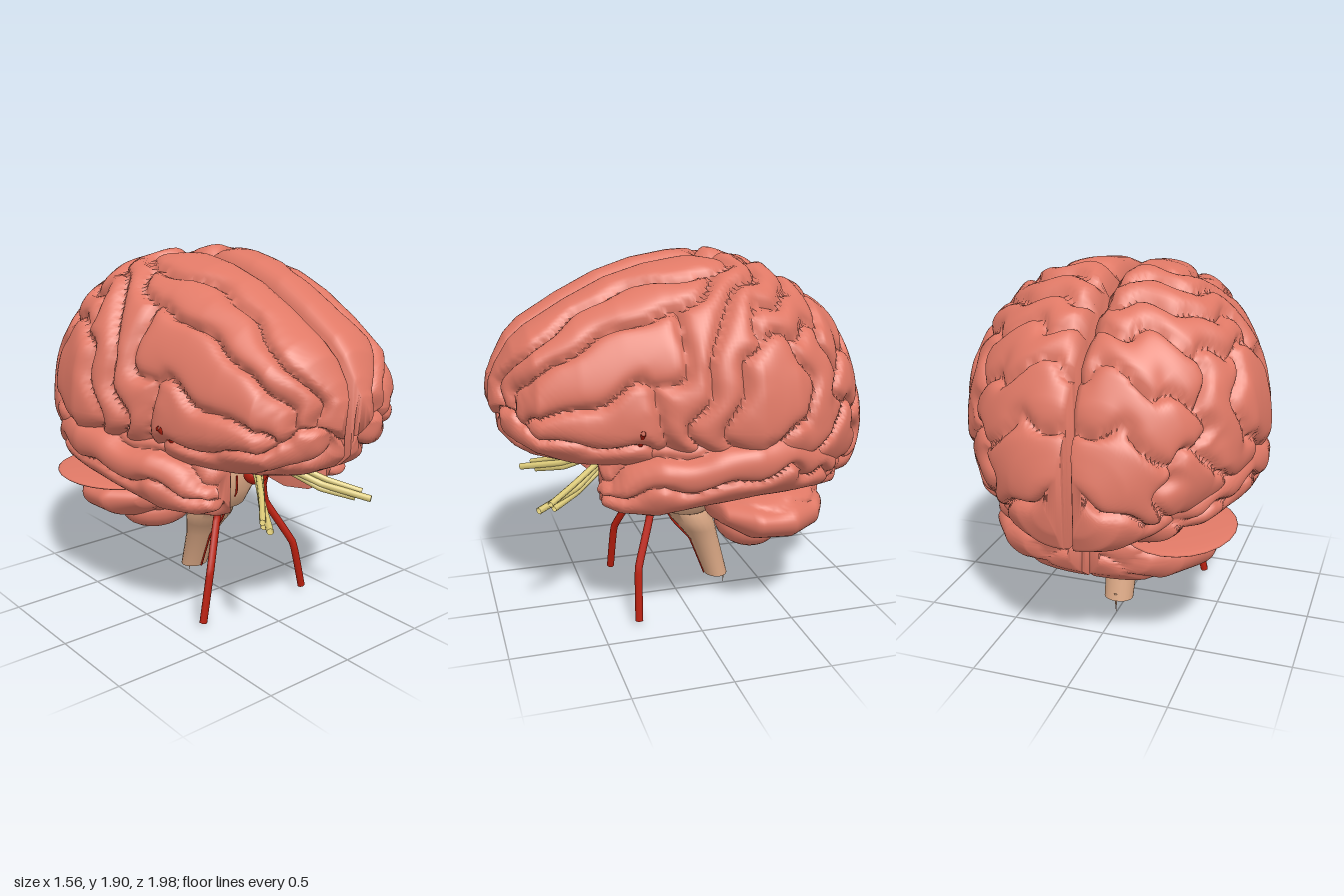
import * as THREE from 'three';
import { toCreasedNormals } from 'three/addons/utils/BufferGeometryUtils.js';

const tissue = new THREE.MeshStandardMaterial({ color: 0xe07966 });
const stemTan = new THREE.MeshStandardMaterial({ color: 0xdba885 });
const arteryRed = new THREE.MeshStandardMaterial({ color: 0xb81f0e, side: THREE.DoubleSide });
const nerveYellow = new THREE.MeshStandardMaterial({ color: 0xdcca78, side: THREE.DoubleSide });

// Surface from a rule fn(i, j) -> Vector3 on an n by m grid
function grid(n, m, fn, flip, crease) {
  const pos = [], idx = [];
  for (let i = 0; i <= n; i++) for (let j = 0; j <= m; j++) pos.push(...fn(i, j).toArray());
  for (let i = 0; i < n; i++) for (let j = 0; j < m; j++) {
    const a = i * (m + 1) + j, b = a + m + 1;
    if (flip) idx.push(a, a + 1, b, b, a + 1, b + 1);
    else idx.push(a, b, a + 1, b, b + 1, a + 1);
  }
  const g = new THREE.BufferGeometry();
  g.setAttribute('position', new THREE.Float32BufferAttribute(pos, 3));
  g.setIndex(idx);
  return toCreasedNormals(g, crease);
}

// Half-round lobe lofted along z, grooved wherever two neighbouring folds meet.
// stations: [z, top, bottom, width, widest y, inner x]; folds: paths of [z, angle]
function lobe(stations, folds, n, m, side, depth) {
  const rows = [...stations].reverse();
  const interp = new THREE.LinearInterpolant(rows.map(r => r[0]), rows.flatMap(r => r.slice(1)), 5, new Float32Array(5));
  const at = (z, t) => {
    const [top, bot, w, yc, x0] = interp.evaluate(z);
    const s = Math.sin(t), x = w * Math.max(0, Math.cos(t)) ** 0.8;
    // The upper inner edge rolls down into the midline gap
    const roll = s > 0 ? 0.22 * (top - yc) * s * Math.exp(-x / 0.035) * 0.5 : 0;
    return {
      p: new THREE.Vector3(x0 + x, yc + (s > 0 ? top - yc : yc - bot) * s - roll, z),
      core: new THREE.Vector3(x0, yc, z * 0.8),
    };
  };
  const ridges = folds.map(path => {
    const pts = [];
    for (let k = 0; k + 1 < path.length; k++) for (let f = 0; f <= 8; f++) {
      const mix = e => THREE.MathUtils.lerp(path[k][e], path[k + 1][e], f / 8);
      pts.push(at(mix(0), THREE.MathUtils.degToRad(mix(1))).p);
    }
    return pts;
  });
  const z1 = stations[0][0], z0 = stations[stations.length - 1][0];
  const wobble = new THREE.Vector3();
  return grid(n, m + 1, (i, j) => {
    const z = (z1 + z0) / 2 + (z1 - z0) / 2 * Math.cos(Math.PI * i / n);
    const { p, core } = at(z, -Math.PI / 2 + Math.PI * (j % (m + 1)) / m);
    wobble.set(
      Math.sin(p.y * 23 + p.z * 9), Math.sin(p.z * 21 + p.x * 17), Math.sin(p.x * 23 + p.y * 17)
    ).multiplyScalar(0.032).add(p);
    let near = 9, second = 9;
    for (const r of ridges) {
      let d = 9;
      for (const q of r) d = Math.min(d, q.distanceToSquared(wobble));
      d = Math.sqrt(d);
      if (d < near) { second = near; near = d; } else if (d < second) second = d;
    }
    const dir = core.sub(p), len = dir.length();
    const sink = Math.min(depth * Math.exp(-(second - near) / 0.045), len * 0.5);
    if (len > 1e-5) p.addScaledVector(dir, sink / len);
    p.x *= side;
    return p;
  }, side < 0, 1.25);
}

const HEMISPHERE = [
  [1.0, 1.25, 1.19, 0, 1.22, 0.09], [0.985, 1.33, 1.12, 0.11, 1.22, 0.04], [0.95, 1.41, 1.03, 0.21, 1.21, 0.02],
  [0.88, 1.52, 0.97, 0.34, 1.2, 0.015], [0.8, 1.59, 0.93, 0.46, 1.19, 0.015], [0.6, 1.71, 0.88, 0.54, 1.16, 0.015],
  [0.4, 1.81, 0.86, 0.6, 1.14, 0.015], [0.2, 1.87, 0.86, 0.66, 1.15, 0.015], [0, 1.9, 0.86, 0.73, 1.15, 0.015],
  [-0.2, 1.915, 0.85, 0.77, 1.15, 0.015], [-0.4, 1.86, 0.8, 0.745, 1.13, 0.015], [-0.6, 1.745, 0.73, 0.65, 1.1, 0.015],
  [-0.78, 1.6, 0.68, 0.51, 1.08, 0.015], [-0.88, 1.41, 0.68, 0.39, 1.04, 0.02], [-0.95, 1.2, 0.71, 0.26, 1.0, 0.025],
  [-0.985, 1.08, 0.8, 0.14, 0.97, 0.04], [-1.0, 1.0, 0.94, 0, 0.97, 0.1],
];
const HEMISPHERE_FOLDS = [
  [[0.98, 45], [0.8, 75], [0.5, 79], [0.2, 79], [-0.12, 80]],
  [[0.93, 22], [0.8, 48], [0.55, 58], [0.3, 60], [0.05, 58]],
  [[0.87, 3], [0.65, 24], [0.45, 33], [0.25, 38], [0.2, 25]],
  [[0.78, -15], [0.5, 0], [0.3, 5]],
  [[0.9, -42], [0.65, -42], [0.4, -38]],
  [[0.88, -75], [0.6, -75], [0.2, -75]],
  [[-0.27, 85], [-0.2, 66], [-0.02, 48], [0.08, 28], [0.18, 4]],
  [[-0.42, 85], [-0.36, 66], [-0.2, 47], [-0.08, 28], [0.02, 4]],
  [[-0.14, 5], [-0.23, 22], [-0.33, 26], [-0.4, 8]],
  [[-0.57, 84], [-0.52, 66], [-0.42, 48], [-0.3, 44]],
  [[-0.5, 35], [-0.6, 24], [-0.58, 5], [-0.5, -10]],
  [[-0.71, 80], [-0.68, 60], [-0.66, 42]],
  [[-0.84, 72], [-0.83, 42], [-0.77, 22]],
  [[-0.7, -2], [-0.77, -20], [-0.6, -30]],
  [[-0.94, 45], [-0.93, 5], [-0.9, -15]],
  [[-0.95, -50], [-0.8, -58], [-0.55, -60]],
  [[-0.3, -55], [0.1, -60]],
];
const TEMPORAL = [
  [0.54, 0.87, 0.78, 0, 0.82, 0.42], [0.51, 0.94, 0.71, 0.16, 0.82, 0.33], [0.42, 1.03, 0.655, 0.31, 0.84, 0.27],
  [0.25, 1.12, 0.63, 0.43, 0.89, 0.25], [0, 1.19, 0.67, 0.51, 0.95, 0.24], [-0.2, 1.22, 0.7, 0.55, 0.98, 0.23],
  [-0.4, 1.2, 0.7, 0.525, 0.98, 0.22], [-0.6, 1.06, 0.69, 0.44, 0.91, 0.2], [-0.74, 0.95, 0.69, 0.3, 0.83, 0.2],
  [-0.82, 0.84, 0.78, 0, 0.8, 0.25],
];
const TEMPORAL_FOLDS = [
  [[0.5, 48], [0.3, 52], [0, 46], [-0.3, 52], [-0.5, 60]],
  [[0.52, 0], [0.2, 10], [-0.1, 3], [-0.35, 14], [-0.65, 10]],
  [[0.46, -42], [0.2, -33], [-0.1, -38], [-0.6, -32]],
  [[0.42, -78], [0, -78], [-0.6, -75]],
];
const CEREBELLUM = [
  [-0.1, 0.64, 0.58, 0, 0.6, 0.2], [-0.14, 0.69, 0.5, 0.4, 0.6, 0.06], [-0.28, 0.72, 0.42, 0.56, 0.59, 0.03],
  [-0.48, 0.74, 0.4, 0.57, 0.58, 0.015], [-0.65, 0.72, 0.42, 0.45, 0.58, 0.015], [-0.73, 0.69, 0.48, 0.3, 0.58, 0.02],
  [-0.77, 0.62, 0.56, 0, 0.59, 0.08],
];
const CEREBELLUM_FOLDS = [
  [[-0.15, 55], [-0.45, 55], [-0.7, 55]],
  [[-0.15, -20], [-0.45, -15], [-0.72, -20]],
  [[-0.2, -78], [-0.65, -78]],
];

// Brainstem rings: [y, centre z, x radius, z radius]
const STEM = [
  [0.08, -0.235, 0, 0], [0.08, -0.235, 0.08, 0.065], [0.3, -0.165, 0.088, 0.08], [0.38, -0.125, 0.115, 0.1],
  [0.44, -0.09, 0.135, 0.115], [0.495, -0.06, 0.125, 0.115], [0.52, -0.04, 0.18, 0.14], [0.62, -0.02, 0.225, 0.165],
  [0.72, 0, 0.21, 0.15], [0.8, 0, 0.15, 0.13], [0.95, 0, 0.12, 0.12], [0.95, 0, 0, 0],
];

export function createModel() {
  const model = new THREE.Group();
  const add = (name, geometry, material) => {
    const mesh = new THREE.Mesh(geometry, material);
    mesh.name = name;
    model.add(mesh);
    return mesh;
  };
  const blob = (name, material, [x, y, z], [rx, ry, rz]) => {
    const mesh = add(name, new THREE.SphereGeometry(1, 24, 14), material);
    mesh.position.set(x, y, z);
    mesh.scale.set(rx, ry, rz);
  };
  const tube = (name, material, radius, side, pts) => {
    const curve = new THREE.CatmullRomCurve3(
      pts.map(([x, y, z]) => new THREE.Vector3(x * side, y, z)), false, 'catmullrom', 0.15);
    add(name, new THREE.TubeGeometry(curve, pts.length * 5, radius, 7), material);
  };

  for (const side of [1, -1]) {
    const tag = side > 0 ? 'left' : 'right';
    // Folded lobes
    add(tag + 'Hemisphere', lobe(HEMISPHERE, HEMISPHERE_FOLDS, 170, 108, side, 0.06), tissue);
    add(tag + 'TemporalLobe', lobe(TEMPORAL, TEMPORAL_FOLDS, 100, 64, side, 0.055), tissue);
    add(tag + 'Cerebellum', lobe(CEREBELLUM, CEREBELLUM_FOLDS, 50, 40, side, 0.03), tissue);
    blob(tag + 'CerebellarTonsil', tissue, [0.17 * side, 0.455, -0.35], [0.22, 0.125, 0.17]);

    // Arteries
    tube(tag + 'CarotidArtery', arteryRed, 0.021, side,
      [[0.35, 0.025, 0.3], [0.29, 0.3, 0.285], [0.17, 0.54, 0.19], [0.14, 0.65, 0.2], [0.15, 0.86, 0.25]]);
    tube(tag + 'MiddleArtery', arteryRed, 0.013, side,
      [[0.14, 0.85, 0.25], [0.25, 0.9, 0.3], [0.5, 1.02, 0.33], [0.64, 1.15, 0.34]]);
    tube(tag + 'FrontArtery', arteryRed, 0.012, side,
      [[0.15, 0.85, 0.25], [0.03, 0.87, 0.42], [0.013, 0.95, 0.6], [0.012, 1.04, 0.62]]);

    // Nerve strands running forward in a tight bundle
    tube(tag + 'OpticNerve', nerveYellow, 0.018, side,
      [[0, 0.85, 0.33], [0.1, 0.82, 0.45], [0.2, 0.75, 0.58], [0.34, 0.7, 0.8]]);
    tube(tag + 'UpperNerve', nerveYellow, 0.016, side,
      [[0.03, 0.88, 0.34], [0.12, 0.84, 0.46], [0.22, 0.775, 0.6], [0.335, 0.725, 0.74]]);
    tube(tag + 'LowerNerve', nerveYellow, 0.016, side,
      [[0.06, 0.83, 0.36], [0.12, 0.79, 0.46], [0.2, 0.725, 0.58], [0.31, 0.69, 0.72]]);
  }

  // Thin flap lying along one side of the cerebellum
  blob('cerebellumFlap', tissue, [-0.4, 0.675, -0.46], [0.28, 0.025, 0.35]);

  // Brainstem with the bulging pons
  add('brainstem', grid(STEM.length - 1, 20, (i, j) => {
    const [y, cz, rx, rz] = STEM[i], a = j / 20 * Math.PI * 2;
    return new THREE.Vector3(rx * Math.cos(a), y, cz + rz * Math.sin(a));
  }, false, 0.9), stemTan);

  // Midline parts between the hemispheres
  blob('midlineBridge', stemTan, [0, 1.1, 0.08], [0.1, 0.27, 0.47]);
  blob('pituitaryGland', arteryRed, [0, 0.77, 0.3], [0.067, 0.055, 0.06]);
  tube('pituitaryStalk', arteryRed, 0.02, 1, [[0, 0.8, 0.3], [0, 0.88, 0.26]]);
  tube('midlineArtery', arteryRed, 0.01, 1, [[0, 1.2, -0.36], [0, 1.32, -0.48], [0, 1.32, -0.63]]);
  tube('spinalArtery', arteryRed, 0.006, 1,
    [[0, 0.72, 0.15], [0, 0.62, 0.145], [0, 0.5, 0.06], [0, 0.42, 0.015], [0, 0.3, -0.084], [0, 0.08, -0.17]]);

  // Fine thread hanging from the end of the stem
  const thread = add('stemThread', new THREE.ConeGeometry(0.01, 0.12, 6), stemTan);
  thread.rotation.x = Math.PI;
  thread.position.set(0, 0.06, -0.285);
  return model;
}
